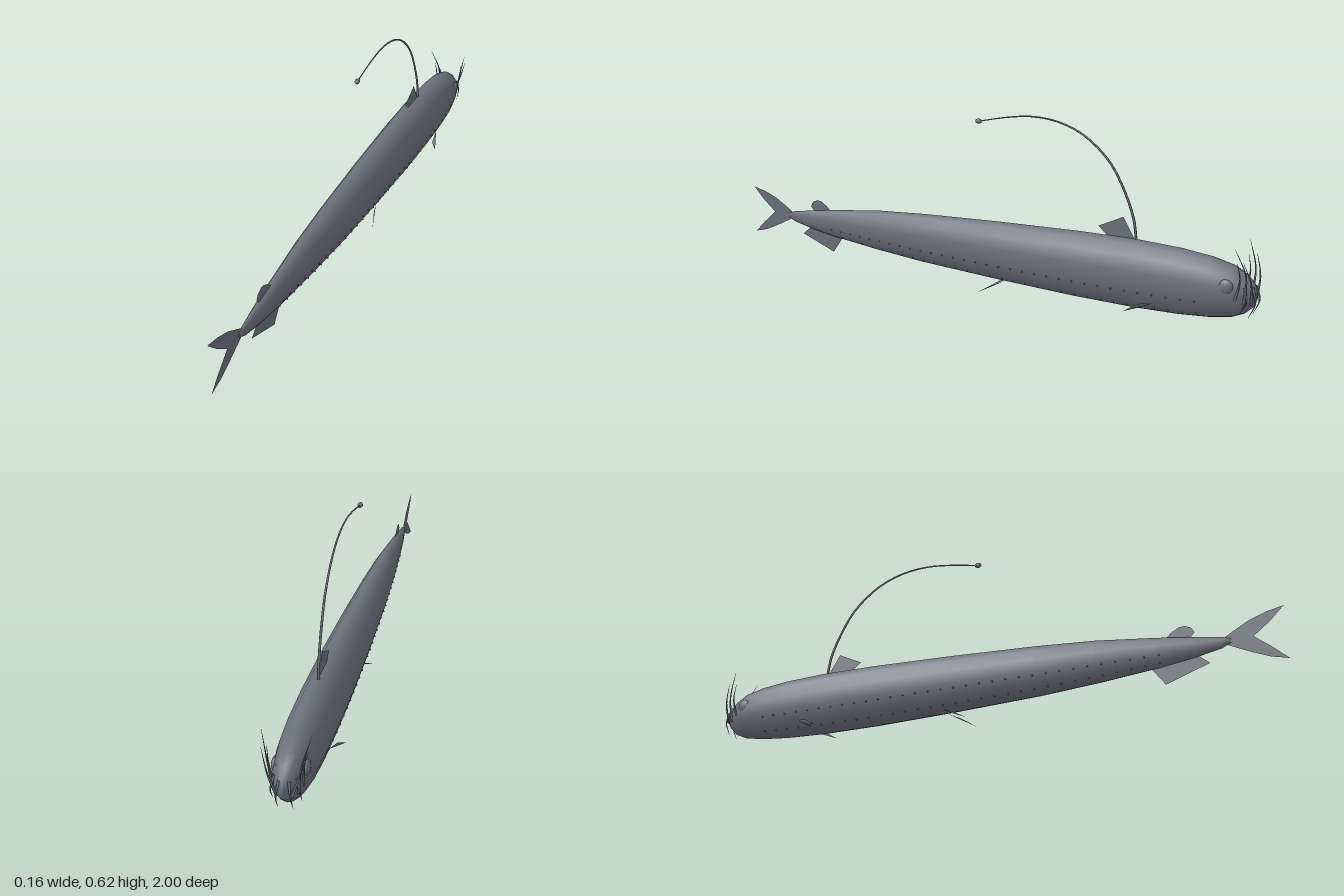
import * as THREE from 'three';

const skin = new THREE.MeshStandardMaterial({ color: 0x6b6f79, side: THREE.DoubleSide });
skin.name = 'slate grey skin';

// Body stations: z, top y, bottom y, half width
const stations = [
  [-0.995, 0.155, 0.135, 0.004], [-0.985, 0.18, 0.105, 0.024], [-0.96, 0.205, 0.08, 0.04],
  [-0.92, 0.228, 0.062, 0.052], [-0.85, 0.245, 0.049, 0.061], [-0.75, 0.256, 0.04, 0.066],
  [-0.6, 0.262, 0.035, 0.068], [-0.4, 0.26, 0.036, 0.068], [-0.1, 0.25, 0.045, 0.062],
  [0.2, 0.236, 0.058, 0.052], [0.4, 0.222, 0.073, 0.042], [0.6, 0.198, 0.093, 0.028],
  [0.72, 0.18, 0.111, 0.018], [0.8, 0.167, 0.127, 0.009], [0.83, 0.156, 0.142, 0.003],
];

// Point on the body at station (interpolated by z) and angle from the top
function onBody(z, angle) {
  let i = 0;
  while (i < stations.length - 2 && stations[i + 1][0] < z) i++;
  const a = stations[i], b = stations[i + 1];
  const t = (z - a[0]) / (b[0] - a[0]);
  const [top, bottom, half] = [1, 2, 3].map(k => a[k] + (b[k] - a[k]) * t);
  return new THREE.Vector3(Math.sin(angle) * half,
    (top + bottom) / 2 + Math.cos(angle) * (top - bottom) / 2, z);
}

function bodyGeometry() {
  const sides = 14, pos = [], idx = [];
  for (const s of stations)
    for (let j = 0; j < sides; j++) pos.push(...onBody(s[0], j / sides * Math.PI * 2).toArray());
  for (let i = 0; i < stations.length - 1; i++)
    for (let j = 0; j < sides; j++) {
      const k = (j + 1) % sides;
      const a = i * sides + j, b = i * sides + k, c = a + sides, d = b + sides;
      idx.push(a, b, c, b, d, c);
    }
  // Close both ends
  const last = (stations.length - 1) * sides;
  for (let j = 1; j < sides - 1; j++) idx.push(0, j + 1, j, last, last + j, last + j + 1);
  const g = new THREE.BufferGeometry();
  g.setAttribute('position', new THREE.Float32BufferAttribute(pos, 3));
  g.setIndex(idx);
  g.computeVertexNormals();
  return g;
}

// Thin fin: a fan of triangles from the first point
function finGeometry(points) {
  const idx = [];
  for (let i = 1; i < points.length - 1; i++) idx.push(0, i, i + 1);
  const g = new THREE.BufferGeometry();
  g.setAttribute('position', new THREE.Float32BufferAttribute(points.flat(), 3));
  g.setIndex(idx);
  g.computeVertexNormals();
  return g;
}
const midFin = zy => finGeometry(zy.map(([z, y]) => [0, y, z]));

// Tube that narrows from r0 to r1
function taperGeometry(points, r0, r1, segments = 10) {
  const curve = new THREE.CatmullRomCurve3(points.map(p => new THREE.Vector3(...p)));
  const sides = 6, g = new THREE.TubeGeometry(curve, segments, r0, sides);
  const p = g.attributes.position, v = new THREE.Vector3();
  for (let i = 0; i <= segments; i++) {
    const c = curve.getPointAt(i / segments);
    const k = 1 + (r1 / r0 - 1) * i / segments;
    for (let j = 0; j <= sides; j++) {
      const n = i * (sides + 1) + j;
      v.fromBufferAttribute(p, n).sub(c).multiplyScalar(k).add(c);
      p.setXYZ(n, v.x, v.y, v.z);
    }
  }
  return g;
}

export function createModel() {
  const model = new THREE.Group();
  model.name = 'deepSeaFish';
  const add = (name, geometry) => {
    const mesh = new THREE.Mesh(geometry, skin);
    mesh.name = name;
    model.add(mesh);
    return mesh;
  };

  add('body', bodyGeometry());

  // Fins on the centre line
  add('tailUpperLobe', midFin([[0.79, 0.15], [0.84, 0.18], [0.89, 0.208], [0.945, 0.228],
    [1, 0.24], [0.955, 0.195], [0.9, 0.152]]));
  add('tailLowerLobe', midFin([[0.79, 0.15], [0.9, 0.152], [0.955, 0.105], [1, 0.062],
    [0.945, 0.076], [0.89, 0.1], [0.84, 0.127]]));
  add('dorsalFin', midFin([[-0.6, 0.25], [-0.553, 0.328], [-0.468, 0.287], [-0.51, 0.25]]));
  add('adiposeFin', midFin([[0.62, 0.185], [0.645, 0.207], [0.67, 0.222], [0.69, 0.224],
    [0.71, 0.215], [0.72, 0.197], [0.7, 0.175]]));
  add('analFin', midFin([[0.57, 0.1], [0.617, 0.034], [0.76, 0.085], [0.72, 0.12]]));

  // Long curved lure with a bulb at its end
  add('lureRod', taperGeometry([[0, 0.25, -0.6], [0, 0.32, -0.59], [0, 0.41, -0.555],
    [0, 0.5, -0.5], [0, 0.575, -0.41], [0, 0.61, -0.32], [0, 0.62, -0.22],
    [0, 0.608, -0.12], [0, 0.587, -0.02]], 0.0045, 0.002, 24));
  const bulb = add('lureBulb', new THREE.SphereGeometry(0.009, 8, 6));
  bulb.scale.z = 1.4;
  bulb.position.set(0, 0.587, -0.018);

  // Fangs on the left, base to tip
  const fangs = [
    [[0.035, 0.12, -0.965], [0.047, 0.21, -0.972], [0.071, 0.297, -0.942]],
    [[0.022, 0.12, -0.985], [0.045, 0.19, -0.988], [0.066, 0.257, -0.968]],
    [[0.042, 0.13, -0.94], [0.05, 0.2, -0.955], [0.057, 0.252, -0.945]],
    [[0.014, 0.17, -0.985], [0.021, 0.125, -0.997], [0.022, 0.075, -0.978]],
    [[0.032, 0.17, -0.965], [0.042, 0.13, -0.975], [0.042, 0.09, -0.957]],
  ];
  const dot = new THREE.SphereGeometry(0.003, 6, 4);

  for (const [side, s] of [['left', 1], ['right', -1]]) {
    const mirror = pts => pts.map(([x, y, z]) => [x * s, y, z]);

    add(side + 'PectoralFin', finGeometry(mirror([[0.05, 0.08, -0.69], [0.066, 0.073, -0.64],
      [0.081, 0.045, -0.595], [0.056, 0.054, -0.63]])));
    add(side + 'PelvicFin', finGeometry(mirror([[0.024, 0.052, -0.135], [0.036, 0.032, -0.09],
      [0.05, 0.001, -0.04], [0.03, 0.032, -0.1]])));

    const eye = add(side + 'Eye', new THREE.SphereGeometry(0.024, 14, 10));
    eye.scale.x = 0.5;
    eye.position.set(0.044 * s, 0.168, -0.91);

    fangs.forEach((f, i) => add(side + 'Fang' + (i + 1), taperGeometry(mirror(f), 0.0045, 0.0004)));

    // Two rows of light organs along the lower flank
    for (const angle of [1.95, 2.55])
      for (let i = 0; i < 32; i++)
        add(side + 'LightOrgan', dot).position.copy(onBody(-0.82 + i * 0.046, angle * s));
  }
  return model;
}
